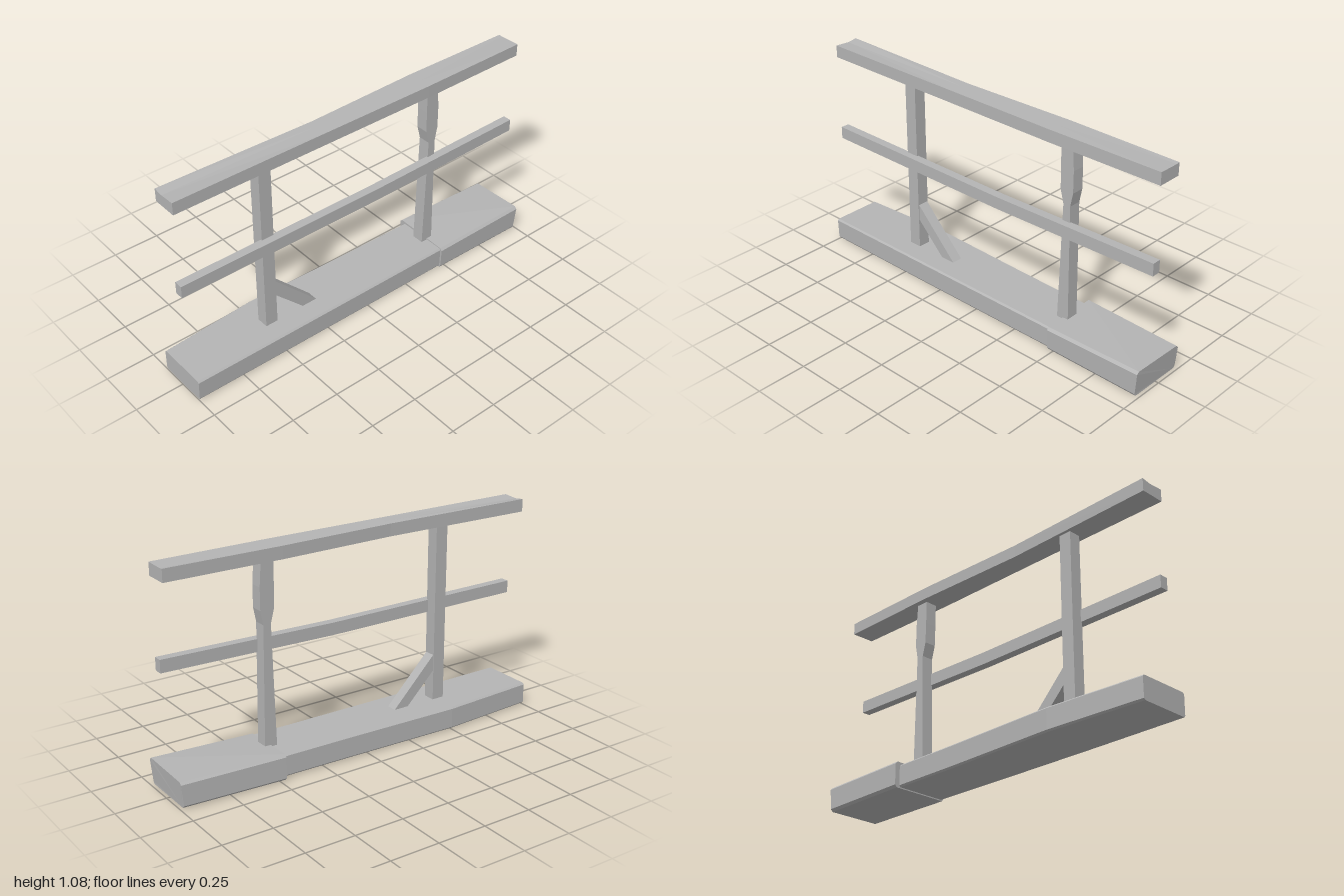
import * as THREE from 'three';

const grey = new THREE.MeshStandardMaterial({ color: 0xb4b4b4 });
grey.name = 'plainGrey';

// Flat-shaded solid through rings [z, [[x, y], ...]], z rising, corners counter-clockwise seen from +z
function loft(rings) {
  const pos = [];
  const at = (i, j) => {
    const [z, pts] = rings[i];
    const [x, y, dz = 0] = pts[j % pts.length];
    return [x, y, z + dz];
  };
  const tri = (a, b, c) => pos.push(...a, ...b, ...c);
  const n = rings[0][1].length, last = rings.length - 1;
  for (let i = 0; i < last; i++) {
    for (let j = 0; j < n; j++) {
      tri(at(i, j), at(i, j + 1), at(i + 1, j + 1));
      tri(at(i, j), at(i + 1, j + 1), at(i + 1, j));
    }
  }
  for (let j = 1; j < n - 1; j++) {
    tri(at(last, 0), at(last, j), at(last, j + 1));
    tri(at(0, 0), at(0, j + 1), at(0, j));
  }
  const g = new THREE.BufferGeometry();
  g.setAttribute('position', new THREE.Float32BufferAttribute(pos, 3));
  g.computeVertexNormals();
  return g;
}

const rect = (x0, x1, y0, y1) => [[x0, y0], [x1, y0], [x1, y1], [x0, y1]];

// Beam section with worn corners; tops may differ left and right
const worn = (x0, x1, y0, yl, yr, c, lean = 0) => [
  [x0 + c, y0, lean], [x1 - c, y0, lean], [x1 - c / 3, y0 + c, lean], [x1, yr - c], [x1 - c, yr],
  [x0 + c, yl], [x0, yl - c], [x0, y0 + c, lean],
];

// Rail section with a shallow groove along the top
const grooved = (x0, xm, x1, yl, ym, yr) =>
  [[xm, ym], [x0, yl], [x0, 1.018], [x1, 1.018], [x1, yr]];

export function createModel() {
  const model = new THREE.Group();
  model.name = 'fenceSection';
  const add = (name, geometry) => {
    const mesh = new THREE.Mesh(geometry, grey);
    mesh.name = name;
    model.add(mesh);
  };

  // Foot: long beam and a slightly larger block at the back
  add('baseBeam', loft([
    [-0.6, worn(-0.135, 0.14, 0.006, 0.118, 0.118, 0.008)],
    [-0.1, worn(-0.143, 0.14, 0.004, 0.118, 0.118, 0.008)],
    [0.5, worn(-0.16, 0.14, 0.004, 0.118, 0.118, 0.008)],
    [1, worn(-0.13, 0.14, 0.006, 0.118, 0.118, 0.008)],
  ]));
  add('baseBlock', loft([
    [-0.995, worn(-0.14, 0.16, 0.004, 0.132, 0.139, 0.012, 0.01)],
    [-0.47, worn(-0.163, 0.15, 0, 0.13, 0.122, 0.012)],
  ]));

  // Posts are lofted along z, then stood upright
  const post = (name, levels) => add(name, loft(levels.map(([y, zBack, zFront]) =>
    [y, rect(-0.025, 0.038, -zFront, -zBack)])).rotateX(-Math.PI / 2));
  post('frontPost', [[0.11, 0.482, 0.547], [1.025, 0.482, 0.547]]);
  post('backPost', [
    [0.11, -0.5, -0.435], [0.72, -0.492, -0.453], [0.79, -0.506, -0.435],
    [0.9, -0.506, -0.433], [1.025, -0.497, -0.433],
  ]);

  // Handrail with a worn top
  add('topRail', loft([
    [-0.985, grooved(-0.05, -0.03, 0.072, 1.08, 1.078, 1.08)],
    [-0.4, grooved(-0.053, 0.02, 0.08, 1.08, 1.08, 1.08)],
    [0.2, grooved(-0.035, 0.01, 0.077, 1.08, 1.08, 1.08)],
    [1, grooved(-0.053, -0.005, 0.074, 1.082, 1.075, 1.08)],
  ]));

  // Middle rail fixed to the side of the posts
  add('middleRail', loft([
    [-0.98, rect(0.03, 0.074, 0.585, 0.648)],
    [-0.08, rect(0.03, 0.074, 0.568, 0.63)],
    [1, rect(0.03, 0.074, 0.572, 0.634)],
  ]));

  // Diagonal brace, outline drawn in the z-y plane
  const outline = new THREE.Shape([[0.49, 0.365], [0.49, 0.28], [0.325, 0.115], [0.245, 0.115]]
    .map(([z, y]) => new THREE.Vector2(z, y)));
  add('brace', new THREE.ExtrudeGeometry(outline, { depth: 0.055, bevelEnabled: false })
    .rotateY(-Math.PI / 2).translate(0.034, 0, 0));

  return model;
}
